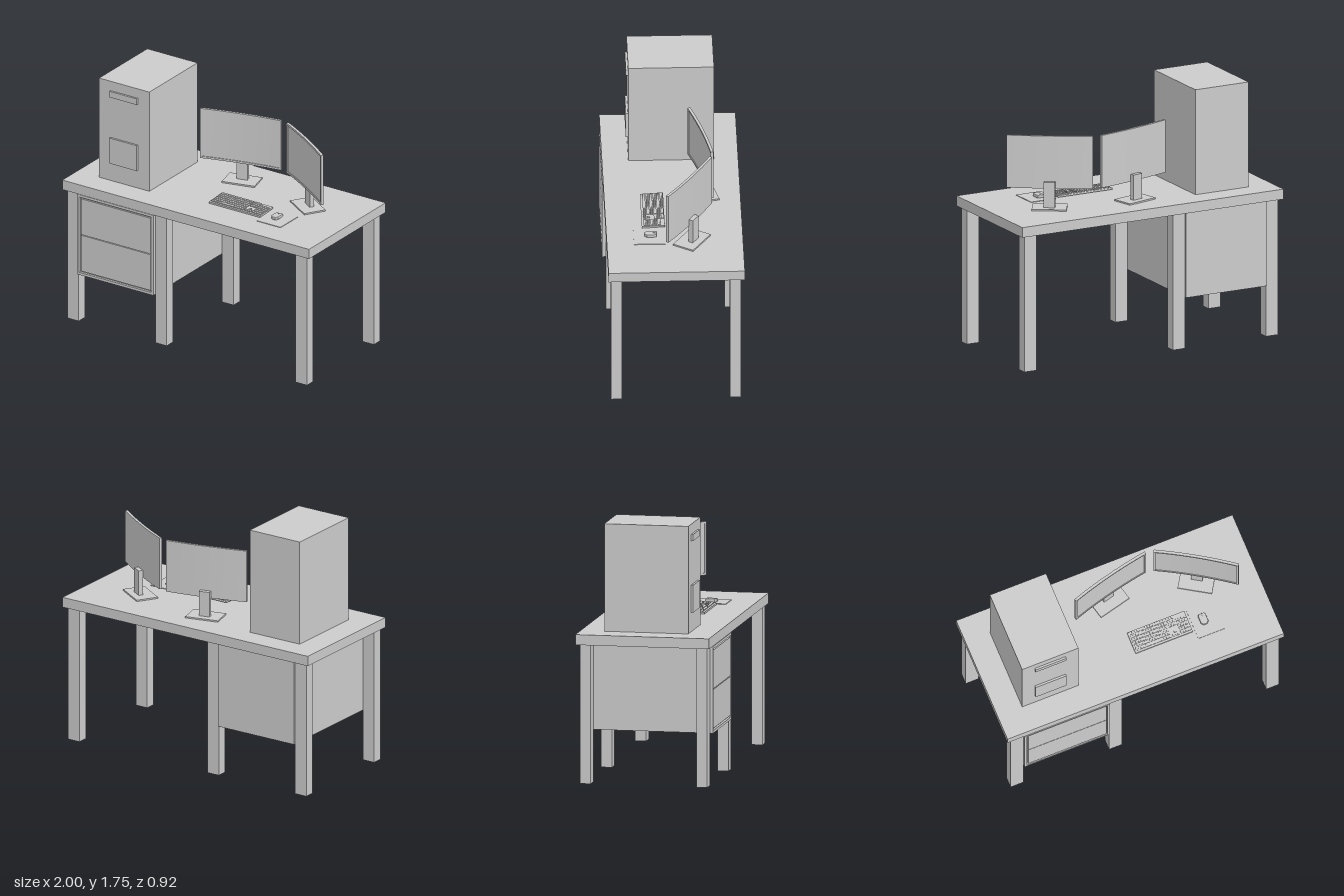
import * as THREE from 'three';
import { mergeGeometries } from 'three/addons/utils/BufferGeometryUtils.js';

const grey = new THREE.MeshStandardMaterial({ color: 0xcccccc });
const DESK_Y = 1.015;

// Box geometry given by its minimum and maximum along each axis
function boxGeo(x0, x1, y0, y1, z0, z1, segX = 1) {
  return new THREE.BoxGeometry(x1 - x0, y1 - y0, z1 - z0, segX, 1, 1)
    .translate((x0 + x1) / 2, (y0 + y1) / 2, (z0 + z1) / 2);
}

function add(parent, name, geometry) {
  const mesh = new THREE.Mesh(geometry, grey);
  mesh.name = name;
  parent.add(mesh);
  return mesh;
}

// Rectangular ring, extruded along z
function frameGeo(x0, x1, y0, y1, border, z0, z1) {
  const rect = (C, a, b, c, d) => {
    const p = new C();
    p.moveTo(a, c); p.lineTo(b, c); p.lineTo(b, d); p.lineTo(a, d); p.closePath();
    return p;
  };
  const shape = rect(THREE.Shape, x0, x1, y0, y1);
  shape.holes.push(rect(THREE.Path, x0 + border, x1 - border, y0 + border, y1 - border));
  return new THREE.ExtrudeGeometry(shape, { depth: z1 - z0, bevelEnabled: false }).translate(0, 0, z0);
}

// Bend a geometry backwards at its middle so its front is concave
function bend(geo, halfWidth, sag) {
  const p = geo.attributes.position;
  for (let i = 0; i < p.count; i++) {
    p.setZ(i, p.getZ(i) - sag * (1 - (p.getX(i) / halfWidth) ** 2));
  }
  geo.computeVertexNormals();
  return geo;
}

function makeDesk() {
  const desk = new THREE.Group();
  desk.name = 'desk';
  add(desk, 'deskTop', boxGeo(-1, 1, 0.945, DESK_Y, -0.457, 0.457));
  for (const x of [-0.925, -0.212, 0.925]) {
    for (const z of [-0.395, 0.402]) {
      add(desk, 'leg', boxGeo(x - 0.046, x + 0.046, 0, 0.945, z - 0.037, z + 0.037));
    }
  }
  return desk;
}

function makeCabinet() {
  const cabinet = new THREE.Group();
  cabinet.name = 'drawerCabinet';
  const x0 = -0.878, x1 = -0.26, y0 = 0.355, y1 = 0.945;
  add(cabinet, 'cabinetBody', boxGeo(x0, x1, y0, y1, -0.445, 0.445));
  add(cabinet, 'cabinetFrame', frameGeo(x0, x1, y0, y1, 0.018, 0.445, 0.461));
  // Two drawer fronts with a narrow gap around each
  for (const [a, b] of [[0.384, 0.648], [0.653, 0.916]]) {
    add(cabinet, 'drawerFront', boxGeo(-0.85, -0.285, a, b, 0.44, 0.457));
  }
  return cabinet;
}

function makeTower() {
  const tower = new THREE.Group();
  tower.name = 'computerTower';
  add(tower, 'towerCase', boxGeo(-0.822, -0.415, DESK_Y, 1.745, -0.295, 0.28));
  add(tower, 'driveSlot', boxGeo(-0.73, -0.508, 1.632, 1.676, 0.27, 0.294));
  add(tower, 'frontPanel', boxGeo(-0.73, -0.508, 1.145, 1.332, 0.27, 0.294));
  return tower;
}

function makeMonitor(x, z, angle) {
  const monitor = new THREE.Group();
  monitor.name = 'monitor';
  const h = 0.29, y0 = 1.15, y1 = 1.515, b = 0.014, seg = 12, sag = 0.012;
  const curved = (...a) => bend(boxGeo(...a), h, sag);
  // Curved panel with a slim raised bezel
  add(monitor, 'screen', curved(-h + b, h - b, y0 + b, y1 - b, -0.01, 0.004, seg));
  add(monitor, 'bezel', mergeGeometries([
    curved(-h, h, y0, y0 + b, -0.01, 0.009, seg),
    curved(-h, h, y1 - b, y1, -0.01, 0.009, seg),
    curved(-h, -h + b, y0 + b, y1 - b, -0.01, 0.009),
    curved(h - b, h, y0 + b, y1 - b, -0.01, 0.009),
  ]));
  add(monitor, 'standNeck', boxGeo(-0.038, 0.038, 1.02, 1.2, -0.052, -0.02));
  add(monitor, 'standBase', boxGeo(-0.117, 0.117, DESK_Y, 1.025, -0.1, 0.055));
  monitor.position.set(x, 0, z);
  monitor.rotation.y = angle;
  return monitor;
}

function makeKeyboard() {
  const keyboard = new THREE.Group();
  keyboard.name = 'keyboard';
  const w = 0.414, d = 0.155;
  add(keyboard, 'keyboardBase', boxGeo(-w / 2, w / 2, 0, 0.012, -d, 0));
  const keys = [];
  const key = (x, row, width) => {
    const z = -0.014 - row * 0.0235;
    keys.push(boxGeo(x + 0.0015, x + width - 0.0015, 0.011, 0.018, z - 0.0195, z));
  };
  const p = 0.0185, left = -0.198;
  for (let row = 0; row < 6; row++) {
    // Main block, with a space bar in the nearest row
    for (let c = 0; c < 14; c++) {
      if (row === 0 && c >= 4 && c <= 9) continue;
      key(left + c * p, row, p);
    }
    // Navigation block and number pad
    for (let c = 0; c < 3; c++) {
      if (row !== 2 && (row !== 1 || c === 1)) key(0.068 + c * p, row, p);
    }
    if (row < 5) for (let c = 0; c < 4; c++) key(0.127 + c * p, row, p);
  }
  key(left + 4 * p, 0, 6 * p);
  add(keyboard, 'keys', mergeGeometries(keys));
  keyboard.position.set(0.232, DESK_Y, 0.216);
  keyboard.rotation.x = 0.06;
  return keyboard;
}

function makeMouse() {
  const mouse = new THREE.Group();
  mouse.name = 'mouseSet';
  add(mouse, 'mousePad', boxGeo(0.455, 0.645, DESK_Y, 1.019, 0.065, 0.275));
  // Faceted body, tapered towards the palm end and chamfered on top
  const outline = [[-0.018, 0.032], [-0.021, 0.02], [-0.021, -0.024], [-0.01, -0.036],
    [0.01, -0.036], [0.021, -0.024], [0.021, 0.02], [0.018, 0.032]];
  const shape = new THREE.Shape(outline.map(([a, b]) => new THREE.Vector2(a, b)));
  const body = new THREE.ExtrudeGeometry(shape, {
    depth: 0.009, bevelThickness: 0.007, bevelSize: 0.006, bevelSegments: 2,
  });
  body.rotateX(-Math.PI / 2).translate(0.537, 1.025, 0.16);
  add(mouse, 'mouseBody', body);
  const wheel = new THREE.CylinderGeometry(0.006, 0.006, 0.005, 10);
  wheel.rotateZ(Math.PI / 2).translate(0.537, 1.039, 0.138);
  add(mouse, 'scrollWheel', wheel);
  return mouse;
}

export function createModel() {
  const model = new THREE.Group();
  model.name = 'computerDesk';
  model.add(
    makeDesk(),
    makeCabinet(),
    makeTower(),
    makeMonitor(0.008, -0.19, 0.24),
    makeMonitor(0.59, -0.095, -0.56),
    makeKeyboard(),
    makeMouse(),
  );
  return model;
}
